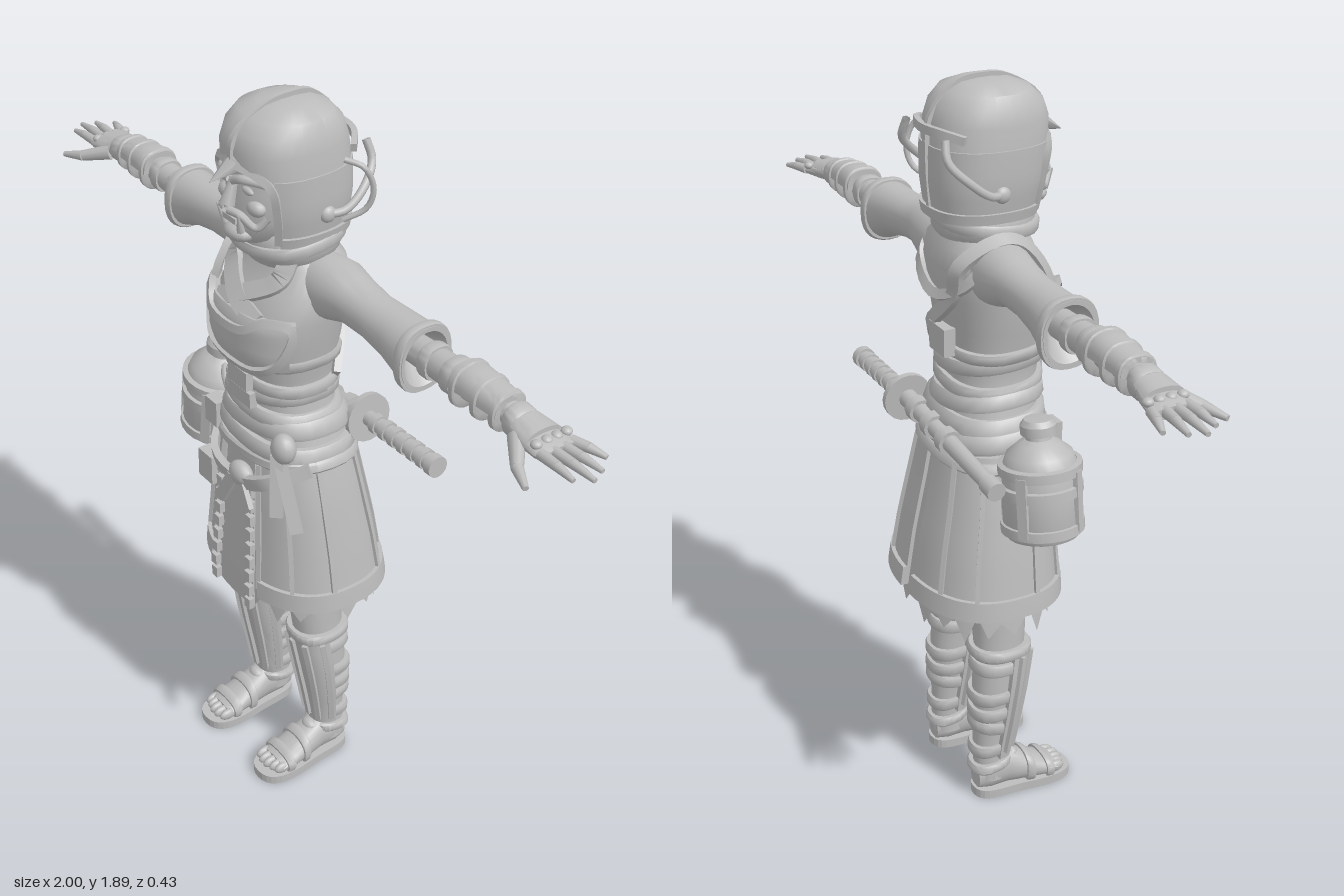
import * as THREE from 'three';
import { toCreasedNormals } from 'three/addons/utils/BufferGeometryUtils.js';

const V = (x, y, z) => new THREE.Vector3(x, y, z);
const rad = THREE.MathUtils.degToRad;

// Surface through a rows x cols grid of points; fn(i, j) returns a point
function grid(rows, cols, fn, crease = 0.7) {
  const pos = [], idx = [];
  for (let i = 0; i <= rows; i++) for (let j = 0; j <= cols; j++) pos.push(...fn(i, j).toArray());
  for (let i = 0; i < rows; i++) for (let j = 0; j < cols; j++) {
    const a = i * (cols + 1) + j, b = a + cols + 1;
    idx.push(a, b, a + 1, b, b + 1, a + 1);
  }
  const g = new THREE.BufferGeometry();
  g.setAttribute('position', new THREE.Float32BufferAttribute(pos, 3));
  g.setIndex(idx);
  return toCreasedNormals(g, crease);
}

// Section = [t, centreA, centreB, radiusA, radiusB]; axis y: a=x b=z, axis x: a=z b=y, axis z: a=y b=x
const place = { y: (t, a, b) => V(a, t, b), x: (t, a, b) => V(t, b, a), z: (t, a, b) => V(b, a, t) };
function point(s, th, d = 0, axis = 'y', p = 2.4) {
  const c = Math.cos(th), n = Math.sin(th), f = (v) => Math.sign(v) * Math.abs(v) ** (2 / p);
  return place[axis](s[0], s[1] + (s[3] + d) * f(c), s[2] + (s[4] + d) * f(n));
}
function loft(secs, axis = 'y', seg = 24, p = 2.4, caps = true) {
  const first = secs[0], last = secs[secs.length - 1];
  const all = caps ? [[...first.slice(0, 3), 0, 0], ...secs, [...last.slice(0, 3), 0, 0]] : secs;
  return grid(all.length - 1, seg, (i, j) => point(all[i], ((j % seg) / seg) * Math.PI * 2, 0, axis, p));
}
// Section of a profile at height t
function at(secs, t) {
  let i = 0;
  while (i < secs.length - 2 && t > secs[i + 1][0]) i++;
  const k = (t - secs[i][0]) / (secs[i + 1][0] - secs[i][0]);
  return secs[i].map((v, n) => v + (secs[i + 1][n] - v) * k);
}
// Raised plate on a profile, from t0 to t1 and between two angles
function patch(secs, t0, t1, a0, a1, d, axis = 'y', rows = 8, cols = 14) {
  return grid(rows + 2, cols + 2, (i, j) => {
    const u = THREE.MathUtils.clamp((i - 1) / rows, 0, 1), v = THREE.MathUtils.clamp((j - 1) / cols, 0, 1);
    const edge = i === 0 || j === 0 || i === rows + 2 || j === cols + 2;
    return point(at(secs, t0 + (t1 - t0) * u), rad(a0 + (a1 - a0) * v), edge ? -0.004 : d, axis);
  });
}
// Band round a profile, tilted by shear
function band(secs, t, h, d, tx = 0, tz = 0, axis = 'y') {
  const row = [[-1, -0.01], [-1, d * 0.7], [-0.6, d], [0.6, d], [1, d * 0.7], [1, -0.01]];
  return grid(5, 28, (i, j) => {
    const q = point(at(secs, t + row[i][0] * h / 2), ((j % 28) / 28) * Math.PI * 2, row[i][1], axis);
    if (axis === 'y') q.y += q.x * tx + q.z * tz;
    return q;
  });
}
// Flat strap through points, facing away from a centre
function ribbon(pts, w, t, centre = V(0, 1.3, 0), n = 16) {
  const curve = new THREE.CatmullRomCurve3(pts);
  const box = [[-1, -1], [1, -1], [1, 1], [-1, 1], [-1, -1]];
  return grid(n + 2, 4, (i, j) => {
    const u = THREE.MathUtils.clamp((i - 1) / n, 0, 1), q = curve.getPoint(u), T = curve.getTangent(u);
    const N = q.clone().sub(centre).addScaledVector(T, -T.dot(q.clone().sub(centre))).normalize();
    const k = i === 0 || i === n + 2 ? 0 : 0.5;
    return q.addScaledVector(T.cross(N), -box[j][0] * w * k).addScaledVector(N, -box[j][1] * t * k);
  }, 0.5);
}
const tube = (pts, r, n = 16) => new THREE.TubeGeometry(new THREE.CatmullRomCurve3(pts), n, r, 7);
const box = (w, h, d, x, y, z) => new THREE.BoxGeometry(w, h, d).translate(x, y, z);
const ball = (rx, ry, rz, x, y, z) => new THREE.SphereGeometry(1, 14, 10).scale(rx, ry, rz).translate(x, y, z);
// Rod between two points
function rod(a, b, r0, r1, seg = 10) {
  const dir = b.clone().sub(a), g = new THREE.CylinderGeometry(r1, r0, dir.length(), seg);
  g.applyQuaternion(new THREE.Quaternion().setFromUnitVectors(V(0, 1, 0), dir.clone().normalize()));
  return g.translate(...a.clone().add(b).multiplyScalar(0.5).toArray());
}
function mirrored(geo) {
  const g = (geo.index ? geo.toNonIndexed() : geo.clone()).scale(-1, 1, 1);
  g.setIndex(Array.from({ length: g.attributes.position.count }, (_, i) => i - (i % 3) + [0, 2, 1][i % 3]));
  return g;
}

export function createModel() {
  const root = new THREE.Group();
  const grey = new THREE.MeshStandardMaterial({ color: 0xbcbcbc, side: THREE.DoubleSide });
  grey.name = 'clay grey';
  const add = (name, g) => { const m = new THREE.Mesh(g, grey); m.name = name; root.add(m); return m; };
  const pair = (name, g) => { add(name + 'Left', g); add(name + 'Right', mirrored(g)); };

  // Torso
  const body = [[0.93, 0, 0, 0.185, 0.135], [1.05, 0, 0.005, 0.155, 0.122], [1.14, 0, 0.015, 0.122, 0.108], [1.22, 0, 0.02, 0.128, 0.112],
    [1.3, 0, 0.025, 0.148, 0.13], [1.38, 0, 0.02, 0.158, 0.135], [1.45, 0, -0.005, 0.165, 0.115], [1.5, 0, -0.02, 0.14, 0.095], [1.55, 0, -0.01, 0.08, 0.075]];
  const skin = (deg, y, d = 0.008) => point(at(body, y), rad(deg), d);
  add('torso', loft(body, 'y', 32));
  add('chestPlate', patch(body, 1.27, 1.4, 28, 152, 0.02));
  add('chestPlateRim', ribbon([[150, 1.39], [122, 1.4], [105, 1.37], [75, 1.37], [58, 1.4], [30, 1.39], [38, 1.3], [62, 1.265], [118, 1.265], [142, 1.3], [150, 1.39]]
    .map(([a, y]) => skin(a, y, 0.022)), 0.02, 0.016, V(0, 1.33, 0), 44));
  add('collarOver', ribbon([skin(135, 1.53), skin(118, 1.48, 0.012), skin(90, 1.42, 0.012), skin(66, 1.39)], 0.045, 0.016));
  add('collarUnder', ribbon([skin(45, 1.53), skin(62, 1.48), skin(90, 1.425), skin(112, 1.39)], 0.045, 0.014));
  add('shoulderStrap', ribbon([skin(150, 1.3, 0.015), skin(140, 1.42, 0.015), V(-0.145, 1.52, 0.03), V(-0.145, 1.535, -0.03), V(-0.12, 1.48, -0.12),
    skin(245, 1.4, 0.012), skin(285, 1.28, 0.014), skin(330, 1.2, 0.012)], 0.035, 0.018, V(0, 1.3, 0), 30));
  add('backYoke', ribbon([skin(345, 1.5, 0.01), skin(310, 1.43, 0.01), skin(270, 1.38, 0.012), skin(230, 1.43, 0.01), skin(195, 1.5, 0.01)], 0.025, 0.014));
  [[1.25, 0.03, 0.012, 0.1], [1.2, 0.035, 0.013, -0.12], [1.155, 0.035, 0.015, 0.1], [1.115, 0.04, 0.016, -0.1], [1.075, 0.045, 0.016, 0.08], [1.025, 0.045, 0.018, -0.05], [0.985, 0.03, 0.018, 0.06]]
    .forEach(([y, h, d, t]) => add('waistWrap', band(body, y, h, d, t, 0.05)));
  add('upperBuckle', box(0.075, 0.05, 0.02, 0.015, 1.215, 0.148));
  add('lowerBuckle', box(0.09, 0.04, 0.02, 0.01, 1.16, 0.14));
  add('backPouch', box(0.08, 0.07, 0.03, -0.02, 1.27, -0.115));

  // Skirt panels, hems and torn underskirt
  const skirt = [[0.5, 0, -0.025, 0.24, 0.18], [0.6, 0, -0.022, 0.241, 0.18], [0.75, 0, -0.015, 0.22, 0.163], [0.9, 0, -0.003, 0.195, 0.143], [1.03, 0, 0.003, 0.163, 0.125]];
  add('underskirt', grid(4, 36, (i, j) => {
    const low = 0.555 + (j % 2 ? 0.028 : -0.028) + 0.012 * Math.sin((j % 36) * 1.9);
    return point(at(skirt, low + (0.95 - low) * i / 4), ((j % 36) / 36) * Math.PI * 2, -0.012);
  }, 0.9));
  [[-87, 72], [112, 267]].forEach(([a, b]) => {
    add('skirtPanel', patch(skirt, 0.6, 1.0, a, b, 0.006, 'y', 8, 24));
    add('skirtHem', patch(skirt, 0.595, 0.645, a, b, 0.016, 'y', 2, 24));
  });
  [72, 45, 12, -30, -60, 112, 135, 168, 210, 240].forEach((a) => add('skirtSeam',
    ribbon([0.98, 0.86, 0.74, 0.62].map((y) => point(at(skirt, y), rad(a), 0.009)), 0.012, 0.01, V(0, 0.8, 0), 6)));
  add('frontCloth', patch(skirt, 0.54, 0.98, 78, 108, 0.002, 'y', 6, 6));
  [79, 107].forEach((a) => {
    for (let k = 0; k < 9; k++) {
      const q = point(at(skirt, 0.56 + k * 0.042), rad(a), 0.012);
      add('clothStud', box(0.022, 0.03, 0.016, q.x, q.y, q.z));
    }
  });

  // Belt knot, sash tails and front pouches
  add('beltKnot', ball(0.04, 0.032, 0.025, 0.02, 0.935, 0.155));
  add('beltFront', ribbon([point(at(skirt, 0.98), rad(160), 0.02), V(-0.1, 0.93, 0.15), V(0.02, 0.92, 0.16), V(0.12, 0.96, 0.145), point(at(skirt, 1.0), rad(20), 0.02)], 0.035, 0.018, V(0, 0.95, 0)));
  [[V(0.03, 0.92, 0.165), V(0.07, 0.86, 0.17)], [V(0, 0.92, 0.165), V(-0.05, 0.83, 0.17)], [V(0.13, 1.04, 0.12), V(0.205, 0.85, 0.12)], [V(0.13, 1.04, 0.125), V(0.155, 0.88, 0.145)]]
    .forEach(([a, b]) => add('sashTail', ribbon([a, a.clone().lerp(b, 0.5), b], 0.032, 0.014, V(0, 0.95, 0), 4)));
  add('sashKnot', ball(0.035, 0.04, 0.03, 0.135, 1.055, 0.11));
  add('sidePouch', box(0.06, 0.08, 0.035, -0.13, 0.87, 0.145));
  add('hipPouch', box(0.05, 0.07, 0.04, -0.14, 1.02, 0.115));

  // Arms
  const sleeve = [[0.1, -0.02, 1.45, 0.07, 0.08], [0.17, -0.025, 1.46, 0.072, 0.073], [0.23, -0.025, 1.463, 0.06, 0.056], [0.3, -0.026, 1.455, 0.055, 0.052],
    [0.38, -0.028, 1.447, 0.06, 0.06], [0.45, -0.03, 1.432, 0.068, 0.075], [0.472, -0.03, 1.43, 0.068, 0.078]];
  pair('sleeve', loft([...sleeve, [0.472, -0.03, 1.43, 0.06, 0.068], [0.43, -0.03, 1.44, 0.035, 0.035]], 'x', 24, 2.1));
  pair('sleeveHem', band(sleeve, 0.458, 0.024, 0.006, 0, 0, 'x'));
  const arm = [[0.4, -0.03, 1.44, 0.034, 0.034], [0.55, -0.03, 1.442, 0.036, 0.037], [0.64, -0.03, 1.447, 0.036, 0.036], [0.75, -0.03, 1.442, 0.028, 0.027], [0.8, -0.03, 1.435, 0.03, 0.024]];
  pair('forearm', loft(arm, 'x', 20, 2));
  pair('bracer', patch(arm, 0.6, 0.745, 0, 180, 0.014, 'x'));
  [0.615, 0.68, 0.735].forEach((x) => pair('bracerStrap', band(arm, x, 0.02, 0.018, 0, 0, 'x')));
  [0.5, 0.575].forEach((x) => pair('armWrap', band(arm, x, 0.03, 0.006, 0, 0, 'x')));
  pair('wristBand', band(arm, 0.775, 0.035, 0.01, 0, 0, 'x'));

  // Hands
  pair('palm', loft([[0.77, -0.03, 1.435, 0.03, 0.022], [0.82, -0.03, 1.43, 0.046, 0.022], [0.87, -0.035, 1.425, 0.052, 0.018], [0.89, -0.04, 1.423, 0.048, 0.013]], 'x', 16, 2.3));
  [[-0.08, -0.105, 0.955], [-0.053, -0.065, 0.985], [-0.026, -0.03, 1.0], [0.002, 0.005, 0.975]].forEach(([z0, z1, x]) => {
    const a = V(0.875, 1.426, z0), m = V((0.875 + x) / 2, 1.426, (z0 + z1) / 2), b = V(x, 1.42, z1);
    pair('fingerBase', rod(a, m, 0.013, 0.0115));
    pair('fingerTip', rod(m, b, 0.0115, 0.006));
    pair('knuckle', ball(0.013, 0.01, 0.013, 0.86, 1.441, z0));
  });
  pair('thumbBase', rod(V(0.8, 1.425, 0), V(0.86, 1.405, 0.05), 0.02, 0.014));
  pair('thumbTip', rod(V(0.86, 1.405, 0.05), V(0.915, 1.395, 0.075), 0.014, 0.007));
  pair('handGuard', patch([[0.79, -0.03, 1.435, 0.035, 0.024], [0.86, -0.033, 1.428, 0.045, 0.02]], 0.79, 0.845, 20, 160, 0.008, 'x', 3, 8));

  // Legs
  const leg = [[0.05, 0.124, -0.04, 0.042, 0.045], [0.13, 0.122, -0.042, 0.038, 0.042], [0.24, 0.122, -0.032, 0.05, 0.052], [0.34, 0.121, -0.022, 0.056, 0.062],
    [0.42, 0.118, -0.01, 0.054, 0.065], [0.5, 0.11, -0.008, 0.06, 0.07], [0.7, 0.1, -0.01, 0.075, 0.08], [0.9, 0.09, -0.01, 0.08, 0.085]];
  pair('leg', loft(leg, 'y', 20, 2.1));
  pair('shinGuard', patch(leg, 0.12, 0.43, 5, 175, 0.013));
  [20, 58, 90, 122, 160].forEach((a) => pair('shinRib', ribbon([0.14, 0.23, 0.33, 0.425].map((y) => point(at(leg, y), rad(a), 0.016)), 0.014, 0.012, V(0.12, 0.3, -0.03), 6)));
  [[0.15, 0.1], [0.21, -0.15], [0.265, 0.1], [0.315, 0.12], [0.395, 0]].forEach(([y, t]) => pair('legWrap', band(leg, y, 0.032, 0.011, 0, t)));
  pair('kneeCuff', band(leg, 0.435, 0.03, 0.015));

  // Feet and sandals
  const sole = new THREE.Shape();
  sole.moveTo(0, 0.09);
  sole.bezierCurveTo(0.06, 0.09, 0.04, 0.02, 0.052, -0.05);
  sole.bezierCurveTo(0.065, -0.13, 0.06, -0.19, 0, -0.19);
  sole.bezierCurveTo(-0.06, -0.19, -0.065, -0.13, -0.052, -0.05);
  sole.bezierCurveTo(-0.04, 0.02, -0.06, 0.09, 0, 0.09);
  pair('sole', new THREE.ExtrudeGeometry(sole, { depth: 0.024, bevelEnabled: false, curveSegments: 10 }).rotateX(-Math.PI / 2).scale(1, 1, 1).translate(0.127, 0, 0));
  const foot = [[-0.082, 0.05, 0.125, 0.03, 0.026], [-0.05, 0.065, 0.125, 0.05, 0.04], [0, 0.07, 0.125, 0.055, 0.041], [0.05, 0.055, 0.126, 0.042, 0.046], [0.1, 0.043, 0.128, 0.028, 0.051], [0.14, 0.036, 0.128, 0.018, 0.05]];
  pair('foot', loft(foot, 'z', 18, 2.2));
  [-0.038, -0.018, 0.002, 0.021, 0.038].forEach((x, k) => pair('toe', ball(0.0115, 0.016, 0.026, 0.127 + x, 0.037, 0.15 - 0.006 * Math.abs(k - 1.5))));
  [0.115, 0.06].forEach((z) => pair('footStrap', band(foot, z, 0.022, 0.008, 0, 0, 'z')));
  pair('ankleStrap', band(leg, 0.1, 0.025, 0.013, 0, 0.15));
  pair('ankleKnot', ball(0.025, 0.018, 0.018, 0.125, 0.1, 0.02));

  // Neck scarf
  const scarf = [[1.5, 0, 0, 0.1, 0.095], [1.53, 0, 0, 0.125, 0.115], [1.56, 0, 0.002, 0.128, 0.12], [1.59, 0, 0.002, 0.118, 0.115], [1.61, 0, 0, 0.1, 0.1]];
  add('scarf', loft(scarf, 'y', 28, 2.1));
  add('scarfFold', band(scarf, 1.555, 0.03, 0.007, 0.06, -0.1));

  // Helmet: closed dome above, open at the face
  const helm = [[1.57, 0, -0.005, 0.115, 0.122], [1.65, 0, 0, 0.13, 0.137], [1.73, 0, 0.006, 0.131, 0.143], [1.79, 0, 0.01, 0.126, 0.142], [1.83, 0, 0.01, 0.119, 0.128], [1.858, 0, 0.008, 0.104, 0.1], [1.875, 0, 0.005, 0.06, 0.06], [1.879, 0, 0.005, 0.02, 0.02]];
  const dome = (a, y, d = 0.004) => point(at(helm, y), rad(a), d);
  add('helmetDome', loft(helm.slice(2), 'y', 32));
  add('helmetSkirt', patch(helm, 1.57, 1.74, 138, 402, 0.004, 'y', 6, 28));
  add('helmetCrest', ribbon([dome(90, 1.76), dome(90, 1.82), V(0, 1.876, 0.06), V(0, 1.884, 0), V(0, 1.876, -0.06), dome(270, 1.8), dome(270, 1.7), dome(270, 1.59)], 0.014, 0.012, V(0, 1.7, 0), 28));
  add('helmetRim', patch(helm, 1.57, 1.595, 138, 402, 0.012, 'y', 2, 28));
  pair('helmetEdge', ribbon([dome(44, 1.58), dome(42, 1.66), dome(46, 1.73), dome(90, 1.765)], 0.018, 0.016, V(0, 1.68, 0)));
  pair('templeTube', tube([V(0.128, 1.64, -0.01), V(0.146, 1.645, -0.05), V(0.145, 1.68, -0.1), V(0.12, 1.73, -0.145), V(0.1, 1.775, -0.142)], 0.01));
  pair('templeBolt', ball(0.014, 0.02, 0.02, 0.132, 1.64, -0.015));
  add('backStrap', ribbon([dome(320, 1.77, 0.012), dome(295, 1.78, 0.012), dome(270, 1.78, 0.014), dome(245, 1.78, 0.012), dome(220, 1.77, 0.012)], 0.02, 0.014, V(0, 1.77, 0)));
  add('sideLoop', tube([V(0.13, 1.76, -0.06), V(0.163, 1.745, -0.09), V(0.172, 1.69, -0.11), V(0.16, 1.64, -0.1), V(0.128, 1.61, -0.06)], 0.007));

  // Face and tusked mask
  add('face', loft([[1.55, 0, 0.05, 0.05, 0.06], [1.58, 0, 0.05, 0.075, 0.095], [1.63, 0, 0.05, 0.098, 0.105], [1.7, 0, 0.045, 0.106, 0.098], [1.77, 0, 0.03, 0.105, 0.1]], 'y', 24, 2.1));
  add('browPeak', rod(V(0, 1.765, 0.13), V(0, 1.73, 0.21), 0.03, 0.001, 6));
  pair('brow', tube([V(0.006, 1.722, 0.152), V(0.04, 1.735, 0.148), V(0.088, 1.725, 0.105)], 0.011));
  pair('eye', ball(0.02, 0.009, 0.008, 0.042, 1.705, 0.138));
  add('nose', rod(V(0, 1.725, 0.145), V(0, 1.665, 0.165), 0.01, 0.019, 6));
  pair('cheek', ball(0.028, 0.02, 0.02, 0.055, 1.665, 0.125));
  pair('moustache', tube([V(0.004, 1.652, 0.165), V(0.035, 1.648, 0.155), V(0.062, 1.62, 0.13), V(0.078, 1.645, 0.11)], 0.01));
  pair('tusk', rod(V(0.03, 1.605, 0.15), V(0.042, 1.652, 0.165), 0.01, 0.002, 7));
  add('mouth', box(0.05, 0.014, 0.016, 0, 1.628, 0.154));
  add('chinGuard', ball(0.045, 0.024, 0.035, 0, 1.59, 0.132));

  // Bottle on the right hip
  const flask = new THREE.Group();
  flask.name = 'bottle';
  const lathe = (name, pts) => {
    const m = new THREE.Mesh(toCreasedNormals(new THREE.LatheGeometry(pts.map(([r, y]) => new THREE.Vector2(r, y)), 24), 0.6), grey);
    m.name = name;
    flask.add(m);
  };
  lathe('bottleBody', [[0, -0.14], [0.088, -0.14], [0.096, -0.125], [0.092, -0.02], [0.092, 0.03], [0.08, 0.065], [0.05, 0.09], [0.032, 0.1], [0.03, 0.115]]);
  lathe('bottleCap', [[0.03, 0.108], [0.043, 0.112], [0.043, 0.135], [0.034, 0.148], [0, 0.15]]);
  [-0.115, -0.02, 0.03].forEach((y) => lathe('bottleBand', [[0.088, y - 0.015], [0.101, y - 0.012], [0.101, y + 0.012], [0.088, y + 0.015]]));
  for (let k = 0; k < 4; k++) {
    const m = new THREE.Mesh(box(0.025, 0.15, 0.014, 0, -0.045, 0.096).rotateY(k * Math.PI / 2 + 0.6), grey);
    m.name = 'bottleStrap';
    flask.add(m);
  }
  flask.position.set(-0.278, 0.985, 0.012);
  flask.rotation.z = -0.12;
  root.add(flask);
  add('bottleCord', tube([V(-0.26, 1.07, 0.01), V(-0.2, 1.06, 0.05), V(-0.16, 1.03, 0.06)], 0.01, 8));

  // Sword across the lower back
  const along = (x) => V(x, 1.055 + (x - 0.15) * (x > 0.15 ? 0.02 : 0.1), -0.135);
  add('scabbard', rod(along(-0.33), along(0.14), 0.019, 0.024, 12));
  add('scabbardTip', rod(along(-0.335), along(-0.29), 0.024, 0.024, 12));
  add('swordGuard', rod(along(0.135), along(0.15), 0.063, 0.063, 20));
  add('swordGrip', rod(along(0.15), along(0.4), 0.02, 0.022, 12));
  for (let k = 0; k < 6; k++) add('gripWrap', rod(along(0.175 + k * 0.036), along(0.195 + k * 0.036), 0.026, 0.026, 10));
  add('pommel', rod(along(0.39), along(0.412), 0.028, 0.028, 12));
  [-0.1, -0.02, 0.06].forEach((x) => add('scabbardTie', rod(along(x), along(x + 0.03), 0.032, 0.032, 10)));
  return root;
}
